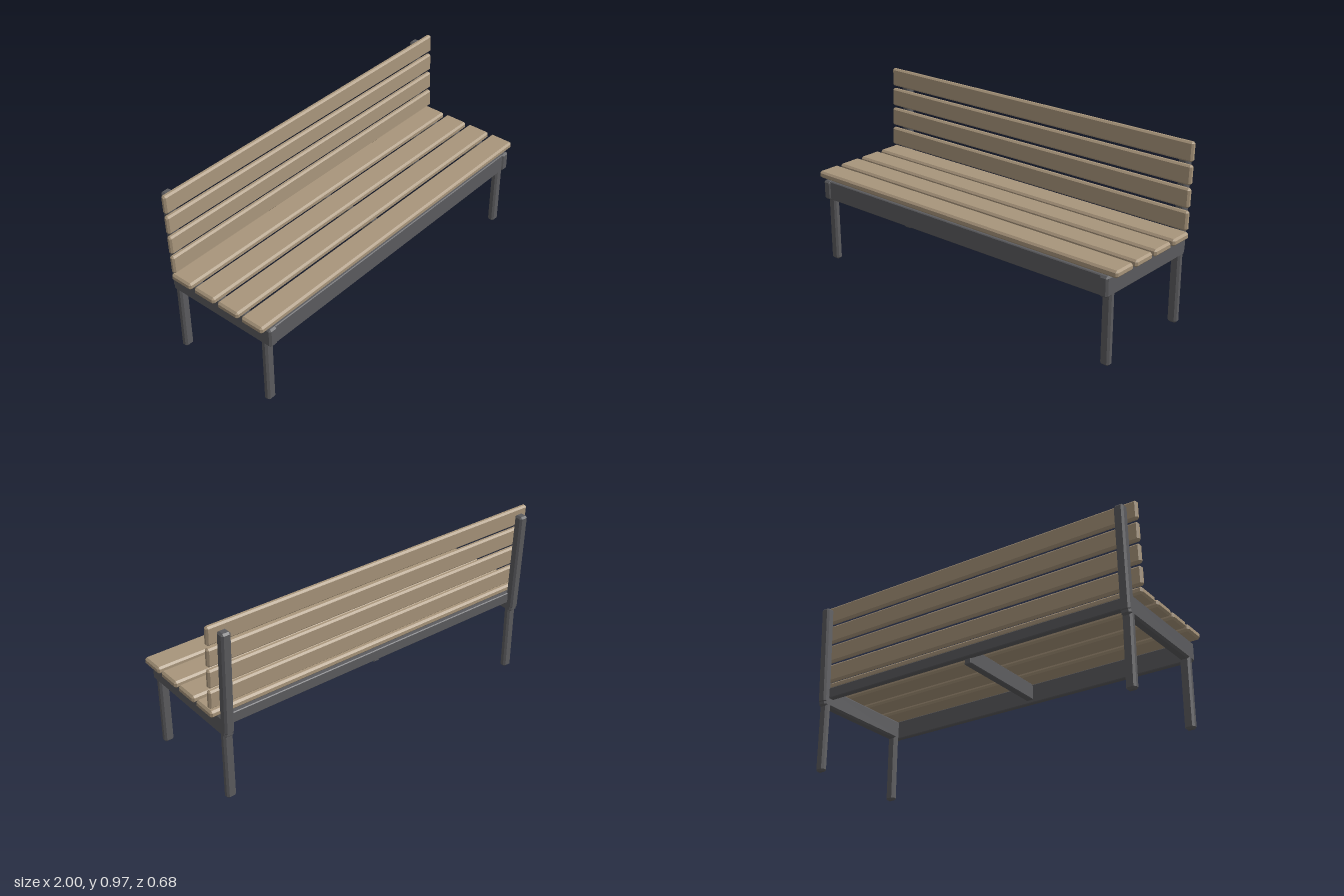
import * as THREE from 'three';
import { ConvexGeometry } from 'three/addons/geometries/ConvexGeometry.js';

// Box with every edge cut by a flat chamfer
function chamferBox(w, h, d, c) {
  const points = [];
  for (const x of [-1, 1]) for (const y of [-1, 1]) for (const z of [-1, 1]) {
    const [a, b, e] = [w / 2, h / 2, d / 2];
    points.push(
      new THREE.Vector3(x * a, y * (b - c), z * (e - c)),
      new THREE.Vector3(x * (a - c), y * b, z * (e - c)),
      new THREE.Vector3(x * (a - c), y * (b - c), z * e));
  }
  return new ConvexGeometry(points);
}

export function createModel() {
  const wood = new THREE.MeshStandardMaterial({ color: 0xa8957b });
  wood.name = 'wood';
  const metal = new THREE.MeshStandardMaterial({ color: 0x5b5b5e });
  metal.name = 'dark metal';
  const bench = new THREE.Group();
  bench.name = 'bench';

  function add(name, material, size, position, chamfer, tilt = 0) {
    const mesh = new THREE.Mesh(chamferBox(...size, chamfer), material);
    mesh.name = name;
    mesh.position.set(...position);
    mesh.rotation.x = tilt;
    bench.add(mesh);
  }

  const lean = -0.034;

  // Seat slats
  for (let i = 0; i < 4; i++) {
    add('seatSlat', wood, [2, 0.038, 0.133], [0, 0.494, 0.263 - i * 0.156], 0.01);
  }

  // Backrest slats, leaning with the posts
  for (let i = 0; i < 4; i++) {
    add('backSlat', wood, [2, 0.1, 0.03], [0, 0.574 + i * 0.1161, -0.254 - i * 0.0045], 0.009, lean);
  }

  // End frames: side rail, two legs and a back post
  for (const side of [-1, 1]) {
    const x = side * 0.93;
    add('sideRail', metal, [0.052, 0.108, 0.654], [x, 0.42, 0.013], 0.01);
    add('frontLeg', metal, [0.052, 0.4, 0.038], [x, 0.2, 0.291], 0.01);
    add('backLeg', metal, [0.052, 0.4, 0.038], [x, 0.2, -0.284], 0.01);
    add('backPost', metal, [0.052, 0.56, 0.05], [x, 0.665, -0.303], 0.01, lean);
  }

  // Long rails and middle beam under the seat
  add('frontRail', metal, [1.83, 0.105, 0.03], [0, 0.421, 0.318], 0.004);
  add('backRail', metal, [1.83, 0.06, 0.036], [0, 0.444, -0.268], 0.004);
  add('middleBeam', metal, [0.04, 0.09, 0.57], [0, 0.43, 0.025], 0.004);

  return bench;
}
